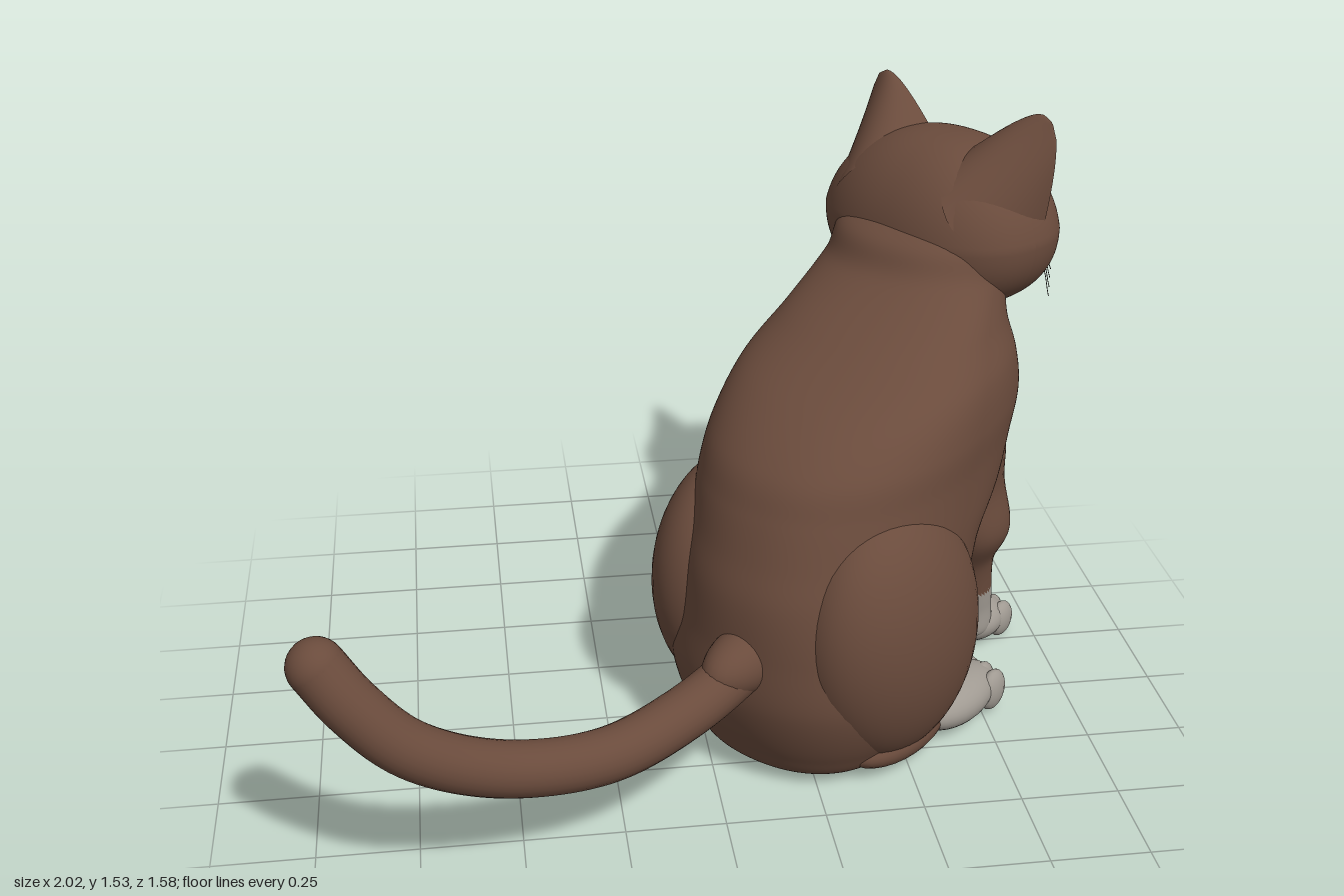
import * as THREE from 'three';

const mat = (name, color) => {
  const m = new THREE.MeshStandardMaterial({ color });
  m.name = name;
  return m;
};
const V = (x, y, z) => new THREE.Vector3(x, y, z);

// Piecewise-linear lookup in [[key, value], ...] with rising keys
function lookup(table, k) {
  if (k <= table[0][0]) return table[0][1];
  for (let i = 1; i < table.length; i++) {
    const [k0, v0] = table[i - 1], [k1, v1] = table[i];
    if (k <= k1) return v0 + (v1 - v0) * (k - k0) / (k1 - k0);
  }
  return table[table.length - 1][1];
}

// Surface from closed rings stored one after another
function skin(pos, around, up, flip) {
  const idx = [];
  for (let i = 0; i < up; i++) {
    for (let j = 0; j < around; j++) {
      const a = i * around + j, b = i * around + (j + 1) % around, c = a + around, d = b + around;
      idx.push(...(flip ? [a, c, b, b, c, d] : [a, b, c, b, d, c]));
    }
  }
  const g = new THREE.BufferGeometry();
  g.setAttribute('position', new THREE.Float32BufferAttribute(pos, 3));
  g.setIndex(idx);
  g.computeVertexNormals();
  return g;
}

// Stack of horizontal rounded rings; row = [x, y, z, half width, half depth, front squareness].
// skew shifts the front of each ring sideways.
function loft(rows, around, up, skew = 0) {
  const path = new THREE.CatmullRomCurve3(rows.map(r => V(r[0], r[1], r[2])), false, 'catmullrom', 0.5);
  const size = new THREE.CatmullRomCurve3(rows.map(r => V(r[3], r[4], r[5] || 2)), false, 'catmullrom', 0.5);
  const pos = [];
  const power = (v, n) => Math.sign(v) * Math.pow(Math.abs(v), 2 / n);
  for (let i = 0; i <= up; i++) {
    const c = path.getPoint(i / up), s = size.getPoint(i / up);
    for (let j = 0; j < around; j++) {
      const t = j / around * Math.PI * 2, n = Math.cos(t) > 0 ? s.z : 2.15;
      const dz = s.y * power(Math.cos(t), n);
      pos.push(c.x + s.x * power(Math.sin(t), n) + skew * dz, c.y, c.z + dz);
    }
  }
  return skin(pos, around, up, false);
}

// Sort faces into two colour groups by a test on the face centre
function paint(g, isSecond) {
  const p = g.attributes.position, src = g.index.array, first = [], second = [];
  for (let i = 0; i < src.length; i += 3) {
    const f = [src[i], src[i + 1], src[i + 2]];
    const mid = fn => (fn.call(p, f[0]) + fn.call(p, f[1]) + fn.call(p, f[2])) / 3;
    (isSecond(mid(p.getX), mid(p.getY), mid(p.getZ)) ? second : first).push(...f);
  }
  g.setIndex([...first, ...second]);
  g.addGroup(0, first.length, 0);
  g.addGroup(first.length, second.length, 1);
  return g;
}

export function createModel() {
  const brown = mat('brown fur', 0x6a4b3c), white = mat('white fur', 0xa09a92);
  const dark = mat('dark whisker', 0x1e1815);

  const add = (parent, name, geometry, material) => {
    const m = new THREE.Mesh(geometry, material);
    m.name = name;
    parent.add(m);
    return m;
  };
  const ball = (parent, name, material, c, r, detail = 28) => {
    const m = add(parent, name, new THREE.SphereGeometry(1, detail, Math.round(detail * 0.7)), material);
    m.position.set(...c);
    m.scale.set(...r);
    return m;
  };
  const strand = (parent, name, pts, r) => add(parent, name,
    new THREE.TubeGeometry(new THREE.CatmullRomCurve3(pts.map(p => V(...p))), 10, r, 5), dark);

  // The cat faces +z inside its own group
  const cat = new THREE.Group();
  cat.name = 'cat';

  // Torso, from the seat up to the neck, with a white bib and belly
  const torso = loft([
    [-0.02, 0.015, 0.12, 0.01, 0.01, 2], [-0.02, 0.02, 0.12, 0.24, 0.22, 2], [-0.02, 0.1, 0.13, 0.32, 0.30, 2],
    [-0.02, 0.25, 0.14, 0.37, 0.36, 2], [-0.02, 0.4, 0.21, 0.37, 0.43, 1.95], [-0.01, 0.53, 0.265, 0.36, 0.475, 2.1],
    [0, 0.63, 0.325, 0.36, 0.505, 2.4], [0.01, 0.74, 0.37, 0.36, 0.51, 2.6], [0.01, 0.84, 0.41, 0.355, 0.495, 2.7],
    [0.015, 0.94, 0.465, 0.335, 0.415, 2.7], [0.03, 1.03, 0.565, 0.29, 0.3, 2.6], [0.05, 1.13, 0.695, 0.25, 0.21, 2.3],
    [0.06, 1.23, 0.77, 0.22, 0.2, 2], [0.06, 1.3, 0.8, 0.01, 0.01, 2],
  ], 160, 140, 0.1);
  const bib = [[0.36, 0.07], [0.46, 0.17], [0.7, 0.19], [0.85, 0.24], [1, 0.28]];
  const bibStart = [[0.5, 0.6], [0.75, 0.72], [1.1, 0.74]];
  const inBib = (x, y, z) => y > 0.38 && z > lookup(bibStart, y) && Math.abs(x - 0.04) < lookup(bib, y);
  add(cat, 'torso', paint(torso, (x, y, z) => inBib(x, y, z) ||
    (y > 0.19 && y <= 0.55 && z > 0.38 + Math.max(0, y - 0.3) * 0.6)), [brown, white]);

  // Tail, curling up to the cat's left
  const tailPts = [[-0.06, 0.4, -0.1], [-0.05, 0.355, -0.2], [-0.024, 0.31, -0.396], [0.033, 0.29, -0.622],
    [0.146, 0.34, -0.863], [0.25, 0.45, -1.04], [0.335, 0.57, -1.12], [0.4, 0.665, -1.155]];
  add(cat, 'tail', new THREE.TubeGeometry(
    new THREE.CatmullRomCurve3(tailPts.map(p => V(...p))), 60, 0.067, 24), brown);
  ball(cat, 'tailTip', brown, tailPts[7], [0.067, 0.067, 0.067]);
  ball(cat, 'tailRoot', brown, [-0.05, 0.37, -0.17], [0.082, 0.085, 0.16]);

  const toes = (parent, x, y, z, spread, r) => {
    for (let i = 0; i < 4; i++) {
      const k = i - 1.5;
      ball(parent, 'toe', white, [x + k * spread, y, z - Math.abs(k) * 0.014], r, 16);
    }
  };

  for (const side of [-1, 1]) {
    const right = side < 0;
    // Hind leg: haunch, heel and foot
    const haunch = ball(cat, 'haunch', brown, [right ? -0.26 : 0.205, 0.38, right ? 0.14 : 0.16], [0.195, 0.37, 0.3], 48);
    haunch.rotation.x = -0.3;
    const hx = right ? -0.328 : 0.28;
    ball(cat, 'heel', brown, [hx * 0.85, 0.075, 0.17], [0.1, 0.065, 0.2]);
    ball(cat, 'hindFoot', white, [hx, 0.08, 0.38], [0.088, 0.068, 0.16]);
    toes(cat, hx, 0.072, 0.495, 0.042, [0.028, 0.058, 0.052]);

    // Front leg: brown shoulder and shin, white cuff and paw
    const fx = right ? -0.15 : 0.09, fz = right ? 0 : -0.045;
    const leg = loft([
      [fx, 0.04, 0.74 + fz, 0.01, 0.01], [fx, 0.06, 0.74 + fz, 0.07, 0.07], [fx, 0.15, 0.73 + fz, 0.074, 0.08],
      [fx, 0.3, 0.69 + fz, 0.088, 0.105], [fx + side * 0.025, 0.42, 0.66 + fz, 0.115, 0.14],
      [side * 0.165 + 0.03, 0.56, 0.62, 0.14, 0.185], [side * 0.165 + 0.03, 0.7, 0.59, 0.145, 0.2],
      [side * 0.15 + 0.03, 0.86, 0.55, 0.13, 0.18], [side * 0.12 + 0.03, 0.98, 0.52, 0.01, 0.01],
    ], 48, 90);
    add(cat, 'frontLeg', paint(leg, (x, y, z) => y < 0.215 + 0.02 * Math.sin(x * 60) ||
      inBib(x, y, z)), [brown, white]);
    ball(cat, 'frontPaw', white, [fx, 0.065, 0.785 + fz], [0.085, 0.062, 0.1]);
    toes(cat, fx, 0.055, 0.855 + fz, 0.042, [0.027, 0.052, 0.05]);
  }

  // Head, turned slightly to the cat's right
  const head = new THREE.Group();
  head.name = 'head';
  head.position.set(0.06, 1.215, 0.834);
  head.rotation.y = -0.21;
  cat.add(head);

  // Skull: a squared-off ball with fuller cheeks, a white blaze and jaw
  const skull = new THREE.SphereGeometry(1, 128, 96);
  const sp = skull.attributes.position;
  const soft = v => Math.sign(v) * Math.pow(Math.abs(v), 0.87);
  for (let i = 0; i < sp.count; i++) {
    const y = soft(sp.getY(i)), z = soft(sp.getZ(i)), top = Math.max(0, y);
    const w = 0.336 * (1 - 0.16 * top);
    sp.setXYZ(i, soft(sp.getX(i)) * w, y * 0.228, z * (z > 0 ? 0.255 - 0.02 * top : 0.24 - 0.04 * top));
  }
  skull.computeVertexNormals();
  const blaze = [[-0.2, 0.21], [-0.12, 0.18], [-0.09, 0.12], [-0.05, 0.075], [0.02, 0.05], [0.1, 0]];
  add(head, 'skull', paint(skull, (x, y, z) =>
    z > 0.02 && Math.abs(x) < lookup(blaze, y)), [brown, white]);

  ball(head, 'chin', white, [0, -0.162, 0.19], [0.065, 0.045, 0.06]);
  ball(head, 'noseBridge', white, [0, -0.055, 0.22], [0.042, 0.075, 0.05]);
  ball(head, 'nose', brown, [0, -0.09, 0.27], [0.034, 0.02, 0.017], 20);

  for (const side of [-1, 1]) {
    ball(head, 'muzzle', white, [side * 0.048, -0.125, 0.22], [0.082, 0.056, 0.056]);

    // Eye
    const eye = ball(head, 'eye', brown, [side * 0.125, -0.012, 0.22], [0.054, 0.042, 0.04]);
    eye.rotation.set(0, side * 0.3, side * 0.15);

    // Ear: a broad leaning cone with a hollowed front
    const pos = [], around = 40, up = 20;
    for (let i = 0; i <= up; i++) {
      const v = i / up, w = 0.162 * Math.sqrt(1 - v) * (1 - 0.1 * v) + 0.002;
      const d = 0.235 * Math.pow(1 - v, 1.1) + 0.002;
      for (let j = 0; j < around; j++) {
        const a = j / around * Math.PI * 2, s = Math.sin(a) * w, c = Math.cos(a);
        pos.push(side * (0.195 + 0.11 * v + s * 0.64), 0.075 + 0.23 * v - s * 0.77,
          0.05 + 0.015 * v - (c > 0 ? c : -0.35 * c) * d);
      }
    }
    add(head, 'ear', skin(pos, around, up, side > 0), brown);
    ball(head, 'earTuft', white, [side * 0.17, 0.21, 0.03], [0.012, 0.016, 0.012], 10);

    // Whiskers and brow hairs
    for (let i = 0; i < 5; i++) {
      const y = -0.1 - i * 0.01;
      strand(head, 'whisker', [[side * 0.08, y, 0.25], [side * 0.15, y - 0.005 * i, 0.255],
        [side * 0.21, y - 0.03 - 0.016 * i, 0.225]], 0.0011);
    }
    for (let i = 0; i < 2; i++) {
      strand(head, 'browHair', [[side * (0.1 + i * 0.015), 0.09, 0.215],
        [side * (0.12 + i * 0.02), 0.13, 0.205], [side * (0.15 + i * 0.02), 0.165, 0.175]], 0.0011);
    }
  }

  cat.rotation.y = Math.PI * 0.75;
  cat.position.set(0.163, 0, 0.163);
  const model = new THREE.Group();
  model.name = 'sittingCat';
  model.add(cat);
  return model;
}
